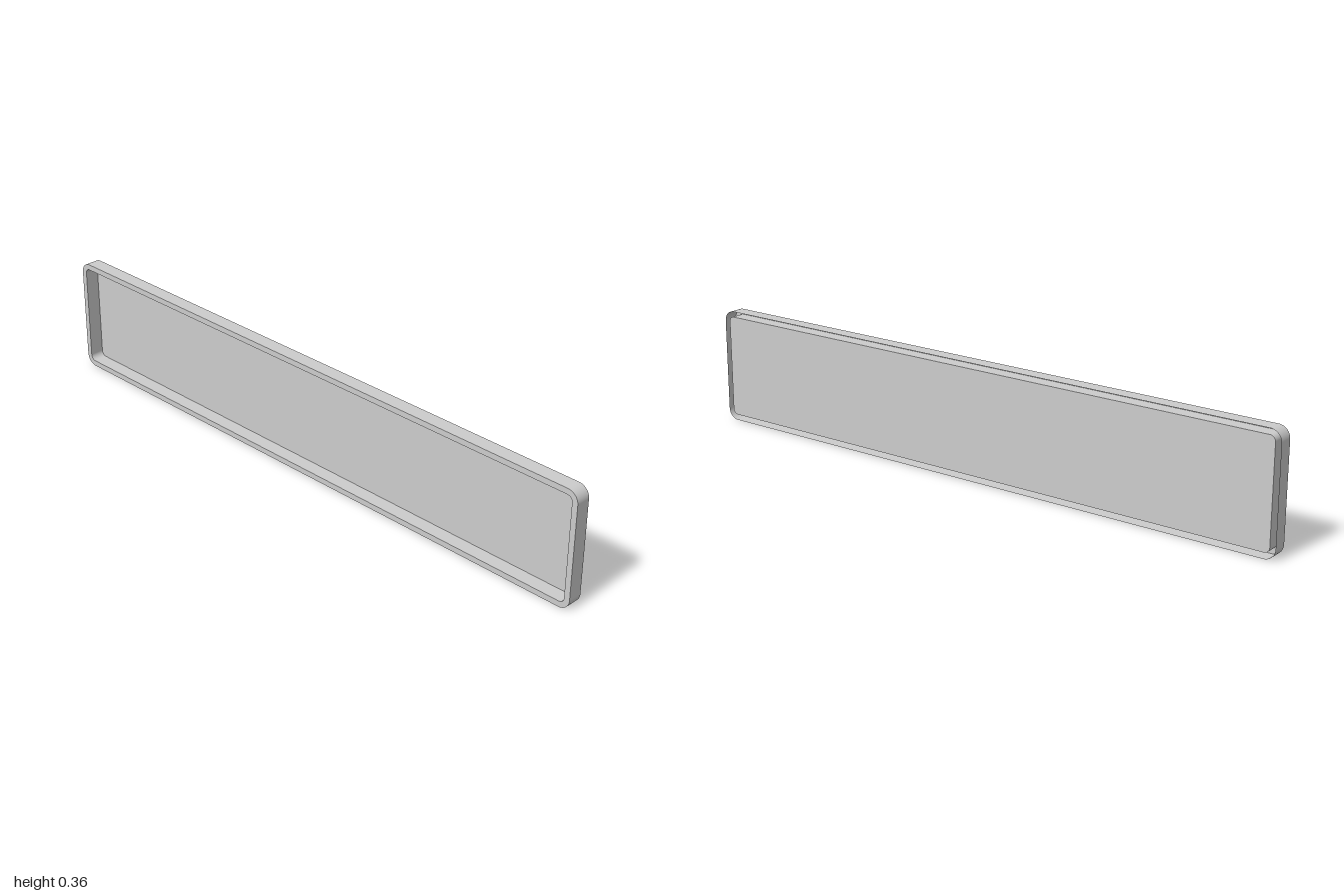
import * as THREE from 'three';

const W = 2, H = 0.363, D = 0.046; // overall size
const RIM = 0.018;                 // width of the folded rim
const RADIUS = 0.035;              // outer corner radius

// Rounded rectangle inset from the outer outline, counter-clockwise
function outline(inset) {
  const r = RADIUS - inset, x = W / 2 - RADIUS, y = H / 2 - RADIUS;
  const s = new THREE.Shape();
  s.absarc(x, y, r, 0, Math.PI / 2);
  s.absarc(-x, y, r, Math.PI / 2, Math.PI);
  s.absarc(-x, -y, r, Math.PI, Math.PI * 1.5);
  s.absarc(x, -y, r, Math.PI * 1.5, Math.PI * 2);
  s.closePath();
  return s;
}

// Thin smooth wall following an outline between two depths
function wall(inset, z0, z1, inward) {
  const pts = outline(inset).getPoints(10);
  if (pts[0].distanceTo(pts[pts.length - 1]) < 1e-6) pts.pop();
  const n = pts.length, pos = [], idx = [];
  for (const p of pts) pos.push(p.x, p.y, z0, p.x, p.y, z1);
  for (let i = 0; i < n; i++) {
    const a = 2 * i, b = 2 * ((i + 1) % n);
    if (inward) idx.push(a, b + 1, b, a, a + 1, b + 1);
    else idx.push(a, b, b + 1, a, b + 1, a + 1);
  }
  const g = new THREE.BufferGeometry();
  g.setAttribute('position', new THREE.Float32BufferAttribute(pos, 3));
  g.setIndex(idx);
  g.computeVertexNormals();
  return g;
}

export function createModel() {
  const group = new THREE.Group();
  group.name = 'tray';
  const material = new THREE.MeshStandardMaterial({ color: 0xcccccc, side: THREE.DoubleSide });
  const add = (name, geometry, z = 0) => {
    const mesh = new THREE.Mesh(geometry, material);
    mesh.name = name;
    mesh.position.set(0, H / 2, z);
    group.add(mesh);
  };
  const front = D / 2, back = -D / 2;
  const floorZ = back + 0.001;

  // Outer skirt, open at the back
  add('outerSkirt', wall(0, back, front, false));

  // Flat front rim joining the skirt to the inner wall
  const rim = outline(0);
  rim.holes.push(outline(RIM));
  add('rim', new THREE.ShapeGeometry(rim, 10), front);

  // Recess wall and its floor
  add('recessWall', wall(RIM, floorZ, front, true));
  add('floorPanel', new THREE.ShapeGeometry(outline(RIM), 10), floorZ);

  return group;
}
